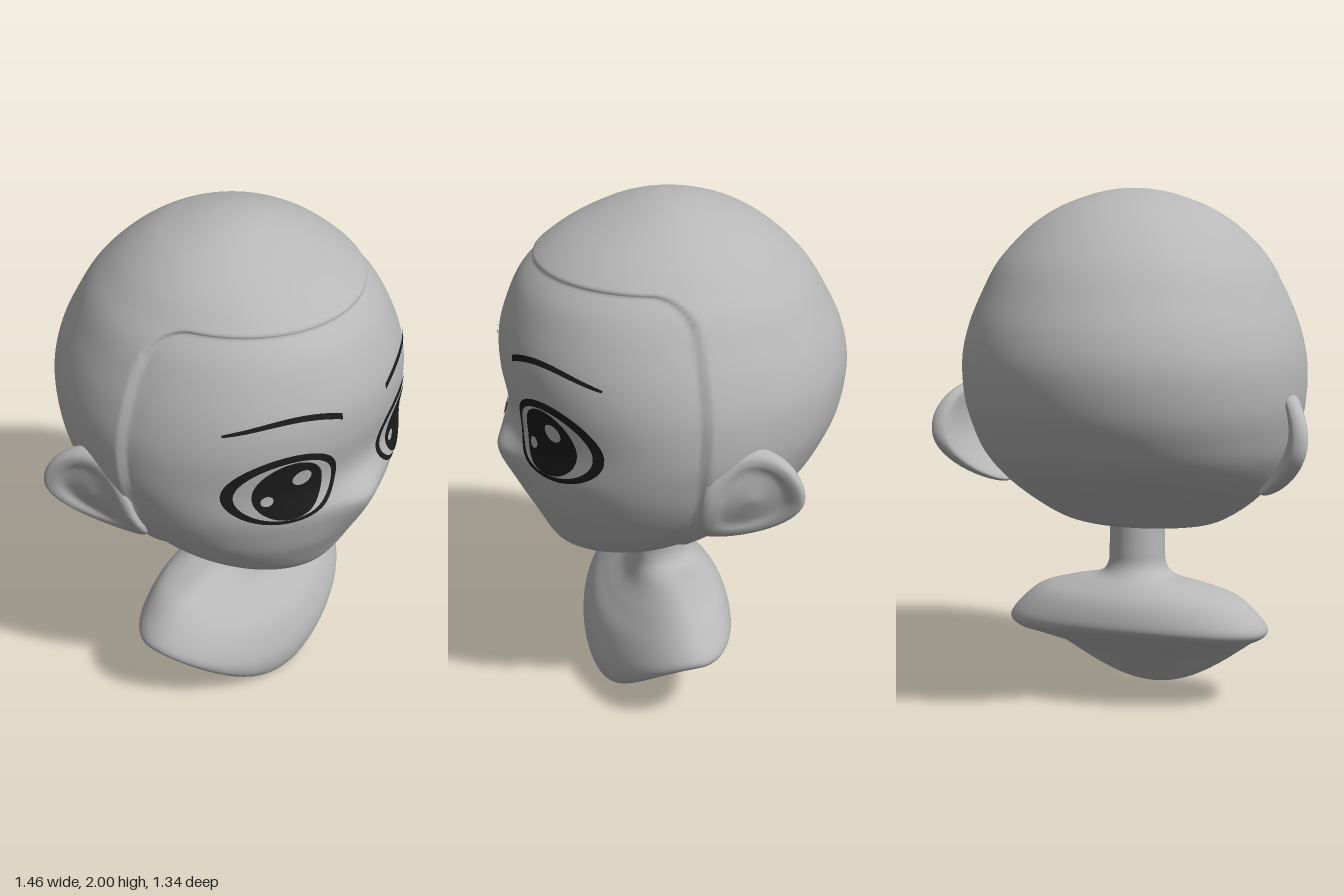
import * as THREE from 'three';
import { mergeVertices } from 'three/addons/utils/BufferGeometryUtils.js';

// Surface through a grid of points fn(u, v), u and v in 0..1; closed joins the last column to the first
function loft(rows, cols, fn, { flip = false, closed = true } = {}) {
  const pos = [], index = [];
  const n = closed ? cols : cols + 1;
  for (let i = 0; i <= rows; i++)
    for (let j = 0; j < n; j++) pos.push(...fn(i / rows, j / cols));
  for (let i = 0; i < rows; i++)
    for (let j = 0; j < cols; j++) {
      const a = i * n + j, b = i * n + (j + 1) % n, c = a + n, d = b + n;
      if (flip) index.push(a, d, b, a, c, d);
      else index.push(a, b, d, a, d, c);
    }
  let g = new THREE.BufferGeometry();
  g.setAttribute('position', new THREE.Float32BufferAttribute(pos, 3));
  g.setIndex(index);
  g = mergeVertices(g, 1e-5);
  g.computeVertexNormals();
  return g;
}

// Smooth interpolation between the rows of a small table
function spline(table) {
  const last = table.length - 1;
  return (u) => {
    const t = u * last, i = Math.min(Math.floor(t), last - 1), f = t - i;
    const [p, a, b, q] = [i - 1, i, i + 1, i + 2].map((k) => table[Math.min(Math.max(k, 0), last)]);
    return a.map((_, k) => a[k] + 0.5 * f * (b[k] - p[k] + f * (2 * p[k] - 5 * a[k] + 4 * b[k] - q[k]
      + f * (3 * (a[k] - b[k]) + q[k] - p[k]))));
  };
}

// Head slices: height, half width, front z, back z, z of the widest point
const headRow = spline([
  [0.645, 0, 0.33, 0.33, 0.33],
  [0.655, 0.10, 0.41, 0.22, 0.31],
  [0.68, 0.21, 0.455, 0.10, 0.25],
  [0.72, 0.32, 0.485, -0.09, 0.18],
  [0.80, 0.43, 0.527, -0.23, 0.13],
  [0.90, 0.52, 0.575, -0.38, 0.08],
  [1.00, 0.58, 0.60, -0.50, 0.05],
  [1.10, 0.615, 0.615, -0.575, 0.04],
  [1.22, 0.64, 0.605, -0.63, 0.03],
  [1.37, 0.64, 0.63, -0.652, 0.02],
  [1.50, 0.61, 0.63, -0.627, 0.02],
  [1.62, 0.56, 0.597, -0.57, 0.02],
  [1.72, 0.505, 0.55, -0.51, 0.01],
  [1.80, 0.435, 0.475, -0.44, 0],
  [1.87, 0.36, 0.375, -0.36, 0],
  [1.93, 0.265, 0.25, -0.265, 0],
  [1.975, 0.155, 0.135, -0.15, 0],
  [1.995, 0.07, 0.06, -0.07, 0],
  [2.0, 0, 0, 0, 0],
]);

// Nose tip and the soft ridge across the cheeks
function noseBump(x, y) {
  const dy = y - 1.075;
  const fade = Math.exp(-((dy / (dy > 0 ? 0.06 : 0.13)) ** 2));
  return fade * (0.025 * Math.exp(-((x / 0.3) ** 2)) + 0.028 * Math.exp(-((x / 0.1) ** 2)));
}

// How far a point lies inside the raised cap: 0 on the face, 1 on the scalp
function capMask(y, z) {
  const r = 0.12, a = y - 1.785 + r, b = 0.07 - z + r;
  const d = Math.hypot(Math.max(a, 0), Math.max(b, 0)) + Math.min(Math.max(a, b), 0) - r;
  return THREE.MathUtils.smoothstep(d, -0.006, 0.012);
}

function headPoint(u, v) {
  const [y, w, zf, zb, zc] = headRow(u);
  const s = Math.sin(v * Math.PI * 2), c = Math.cos(v * Math.PI * 2);
  const x = w * s;
  const z = c > 0 ? zc + (zf - zc + noseBump(x, y)) * c : zc + (zc - zb) * c;
  const push = 0.018 * capMask(y, z) * Math.min(1, Math.max(0, w / 0.25));
  return [x + push * s, y, z + push * c];
}

// Depth of the face at x, y, used to lay the painted details on it
function faceZ(x, y) {
  let lo = 0, hi = 1;
  for (let k = 0; k < 30; k++) {
    const mid = (lo + hi) / 2;
    if (headRow(mid)[0] < y) lo = mid; else hi = mid;
  }
  const [, w, zf, , zc] = headRow(lo);
  const c = Math.sqrt(Math.max(0, 1 - (x / w) ** 2));
  return zc + (zf - zc + noseBump(x, y)) * c;
}

// Oval plate that follows the face
function facePatch(cx, cy, rx, ry, lift) {
  return loft(10, 48, (u, v) => {
    const a = v * Math.PI * 2;
    const x = cx + rx * u * Math.cos(a), y = cy + ry * u * Math.sin(a);
    return [x, y, faceZ(x, y) + lift];
  }, { flip: true });
}

// Eyebrow ribbon, thick at the inner end and tapering outwards
function browGeometry(side) {
  return loft(2, 32, (u, v) => {
    const x = 0.12 + 0.37 * v;
    const mid = 1.487 + 0.04 * Math.sin(Math.PI * v ** 0.9);
    const half = 0.004 + 0.009 * Math.sqrt(1 - v);
    const y = mid + half * (2 * u - 1);
    return [side * x, y, faceZ(x, y) + 0.006];
  }, { flip: side < 0, closed: false });
}

// Ear section from the hollow over the rim to the back: radius, outward offset
const earRow = spline([[0, -0.008], [0.3, -0.012], [0.58, -0.004], [0.74, 0.022], [0.88, 0.034],
  [0.98, 0.02], [1, -0.01], [0.9, -0.032], [0.5, -0.04], [0, -0.04]]);

function earGeometry(side) {
  return loft(45, 56, (u, v) => {
    const [r, d] = earRow(u), a = v * Math.PI * 2;
    const c = Math.cos(a), s = Math.sin(a);
    const z = -0.105 + r * (-0.18 * c + 0.08 * Math.max(0, -s) ** 1.5);
    const y = 1.06 + 0.2 * r * s;
    const rim = d > 0 ? d * (0.7 + 0.3 * c) : d;
    const x = 0.645 - 0.2 * z - 2 * (y - 1.12) ** 2 + rim;
    return [side * x, y, z];
  }, { flip: side > 0 });
}

// Neck and bust rings: side x, side y, front z, front y, back z, back y
const bustRow = spline([
  [0.108, 0.75, 0.143, 0.75, -0.073, 0.75],
  [0.108, 0.62, 0.143, 0.62, -0.073, 0.62],
  [0.114, 0.55, 0.143, 0.55, -0.076, 0.56],
  [0.15, 0.51, 0.15, 0.49, -0.10, 0.52],
  [0.25, 0.49, 0.175, 0.42, -0.14, 0.485],
  [0.385, 0.45, 0.235, 0.34, -0.175, 0.445],
  [0.47, 0.385, 0.29, 0.26, -0.195, 0.40],
  [0.522, 0.315, 0.325, 0.14, -0.203, 0.345],
  [0.49, 0.275, 0.315, 0.045, -0.19, 0.315],
  [0.40, 0.25, 0.27, 0.004, -0.15, 0.29],
  [0.20, 0.20, 0.16, 0.08, -0.06, 0.23],
  [0, 0.165, 0.035, 0.165, 0.035, 0.165],
]);

function bustPoint(u, v) {
  const [sx, sy, fz, fy, bz, by] = bustRow(u);
  const s = Math.sin(v * Math.PI * 2), c = Math.cos(v * Math.PI * 2), zc = 0.035;
  const z = c > 0 ? zc + (fz - zc) * c : zc + (zc - bz) * c;
  return [sx * s, sy + ((c > 0 ? fy : by) - sy) * c * c, z];
}

export function createModel() {
  const group = new THREE.Group();
  const clay = new THREE.MeshStandardMaterial({ color: 0xb8b8b8 });
  clay.name = 'clay grey';
  const ink = new THREE.MeshStandardMaterial({ color: 0x1c1c1c });
  ink.name = 'ink black';

  const add = (name, geometry, material) => {
    const mesh = new THREE.Mesh(geometry, material);
    mesh.name = name;
    group.add(mesh);
  };

  add('head', loft(216, 220, headPoint), clay);
  add('neckAndBust', loft(77, 96, bustPoint, { flip: true }), clay);

  for (const side of [1, -1]) {
    const label = side > 0 ? 'left' : 'right';
    const ex = side * 0.307, iris = side * 0.302;
    add(label + 'Ear', earGeometry(side), clay);
    add(label + 'Eyebrow', browGeometry(side), ink);
    // Eye layers, from the lash line up to the two glints
    add(label + 'EyeOutline', facePatch(ex, 1.23, 0.193, 0.154, 0.004), ink);
    add(label + 'EyeWhite', facePatch(ex - side * 0.003, 1.225, 0.166, 0.131, 0.007), clay);
    add(label + 'Iris', facePatch(iris, 1.225, 0.12, 0.128, 0.010), ink);
    add(label + 'LargeGlint', facePatch(iris + 0.035, 1.275, 0.034, 0.034, 0.013), clay);
    add(label + 'SmallGlint', facePatch(iris - 0.075, 1.195, 0.02, 0.022, 0.013), clay);
  }
  return group;
}
